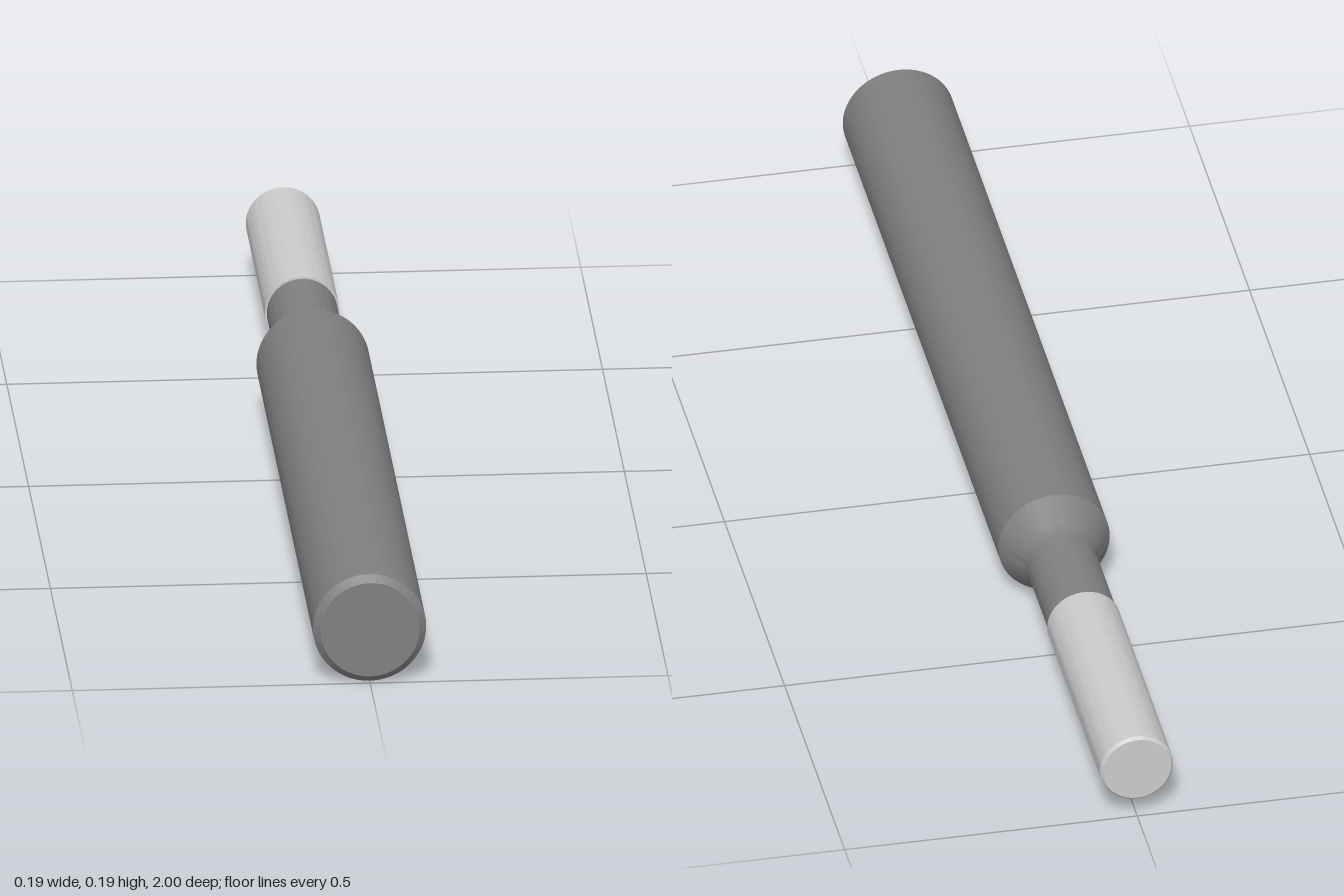
import * as THREE from 'three';
import { toCreasedNormals } from 'three/addons/utils/BufferGeometryUtils.js';

const AXIS_HEIGHT = 0.095;

// Turned part along z from a [radius, z] profile, listed back to front
function turned(name, profile, color) {
  const points = profile.map(([r, z]) => new THREE.Vector2(r, z));
  const geometry = new THREE.LatheGeometry(points, 96).rotateX(Math.PI / 2);
  const mesh = new THREE.Mesh(
    toCreasedNormals(geometry, Math.PI / 9),
    new THREE.MeshStandardMaterial({ color })
  );
  mesh.name = name;
  mesh.position.y = AXIS_HEIGHT;
  return mesh;
}

export function createModel() {
  const group = new THREE.Group();
  group.name = 'turnedTool';

  // Cutting end with a fine chamfer on its back edge
  group.add(turned('cuttingTip', [
    [0, -1], [0.058, -1], [0.0625, -0.995], [0.0625, -0.555], [0, -0.555],
  ], 0xcccccc));

  // Neck, filleted taper, and shank with a chamfered front end
  group.add(turned('shank', [
    [0, -0.555], [0.0595, -0.555], [0.0595, -0.383], [0.0605, -0.372],
    [0.0635, -0.362], [0.068, -0.354], [0.095, -0.308],
    [0.095, 0.988], [0.083, 1], [0, 1],
  ], 0x808080));

  return group;
}
